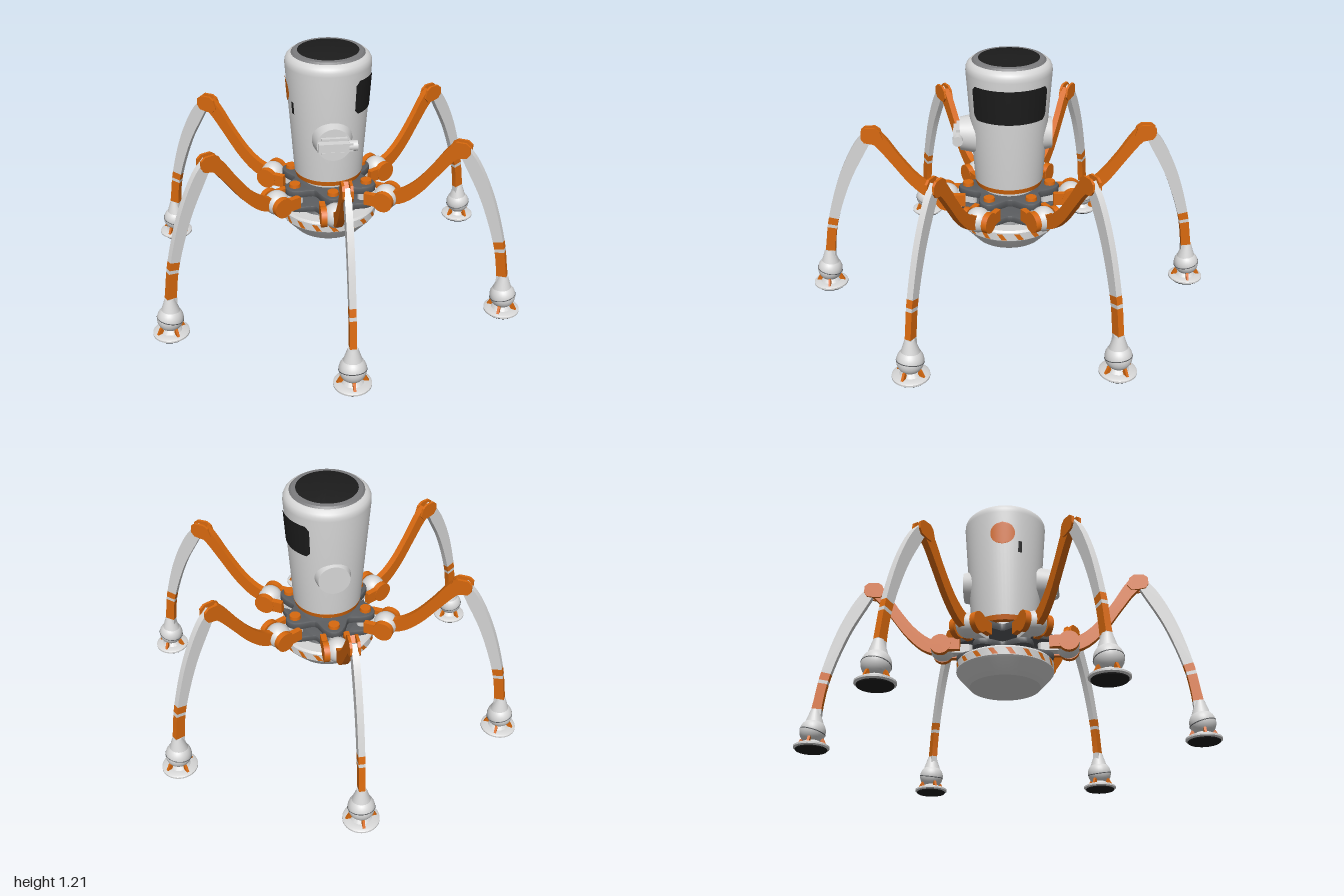
import * as THREE from 'three';
import { toCreasedNormals } from 'three/addons/utils/BufferGeometryUtils.js';

const paint = (name, color, side = THREE.FrontSide) => {
  const m = new THREE.MeshStandardMaterial({ color, side });
  m.name = name;
  return m;
};

export function createModel() {
  const light = paint('light shell', 0xd6d6d6);
  const orange = paint('orange', 0xd8690e);
  const dark = paint('dark grey', 0x5a5c5f);
  const mid = paint('mid grey', 0x7c7c7e);
  const black = paint('black', 0x1c1c1c);
  const root = new THREE.Group();
  root.name = 'sixLeggedRobot';

  const add = (parent, name, geo, mat, x = 0, y = 0, z = 0) => {
    const m = new THREE.Mesh(geo, mat);
    m.name = name;
    m.position.set(x, y, z);
    parent.add(m);
    return m;
  };
  const lathe = (pts, seg = 48) => toCreasedNormals(
    new THREE.LatheGeometry(pts.map(p => new THREE.Vector2(p[0], p[1])), seg), 0.6);
  const cyl = (r1, r2, h, seg = 24) => new THREE.CylinderGeometry(r1, r2, h, seg);

  // Thin panel wrapped round a turned surface; widthAt shapes its outline
  const wrapped = (radiusAt, az, half, y0, y1, widthAt = () => 1, skew = 0, nu = 20, nv = 16) => {
    const g = new THREE.PlaneGeometry(2, 2, nu, nv);
    const p = g.attributes.position;
    for (let i = 0; i < p.count; i++) {
      const v = p.getY(i);
      const a = az + p.getX(i) * half * widthAt(v) + skew * v;
      const y = (y0 + y1) / 2 + v * (y1 - y0) / 2;
      const r = radiusAt(y) + 0.004;
      p.setXYZ(i, r * Math.cos(a), y, -r * Math.sin(a));
    }
    g.computeVertexNormals();
    return g;
  };

  // Curved limb: rows of [radius, height, half thickness], cut between t0 and t1
  const limb = (rows, depth, t0 = 0, t1 = 1, n = 18) => {
    const curve = new THREE.CatmullRomCurve3(rows.map(r => new THREE.Vector3(...r)));
    const up = [], low = [];
    for (let i = 0; i <= n; i++) {
      const t = t0 + (t1 - t0) * i / n;
      const c = curve.getPoint(t), d = curve.getTangent(t);
      const k = c.z / Math.hypot(d.x, d.y);
      up.push(new THREE.Vector2(c.x - d.y * k, c.y + d.x * k));
      low.unshift(new THREE.Vector2(c.x + d.y * k, c.y - d.x * k));
    }
    const g = new THREE.ExtrudeGeometry(new THREE.Shape([...up, ...low]),
      { depth, bevelEnabled: false });
    g.translate(0, 0, -depth / 2);
    return toCreasedNormals(g, 0.6);
  };

  // Body shell and lid
  const bodyR = y => 0.165 + (y - 0.58) * 0.068;
  add(root, 'bodyShell', lathe([[0, 0.6], [0.165, 0.6], [0.204, 1.15], [0.203, 1.168],
    [0.197, 1.183], [0.185, 1.195], [0.172, 1.2]], 64), light);
  add(root, 'lidRing', lathe([[0.174, 1.199], [0.165, 1.208], [0.143, 1.21]], 64), mid);
  add(root, 'lidDisc', lathe([[0.144, 1.21], [0.138, 1.212], [0, 1.212]], 64), black);
  add(root, 'bodyBand', cyl(0.166, 0.16, 0.024, 48), orange, 0, 0.589);
  add(root, 'neck', cyl(0.13, 0.13, 0.04, 40), light, 0, 0.565);

  // Window, round badge and slot
  add(root, 'window', wrapped(bodyR, 0, 1.0, 0.945, 1.112,
    v => Math.min(1, 1 - (Math.abs(v) - 0.75) * 0.4)), black);
  add(root, 'badge', wrapped(bodyR, Math.PI, 0.31, 0.97, 1.09,
    v => Math.sqrt(Math.max(0, 1 - v * v))), orange);
  add(root, 'slot', wrapped(bodyR, Math.PI + 0.45, 0.05, 0.93, 0.99), black);

  // Front knob with a horizontal grip, and the plain cap at the back
  const knob = new THREE.Group();
  knob.name = 'frontKnob';
  knob.position.set(0, 0.83, 0.16);
  root.add(knob);
  add(knob, 'knobBase', toCreasedNormals(cyl(0.08, 0.095, 0.075, 36), 0.6), light, 0, 0, 0.037)
    .rotation.x = Math.PI / 2;
  add(knob, 'knobGrip', new THREE.BoxGeometry(0.16, 0.04, 0.035), light, 0.005, 0, 0.09);
  add(knob, 'gripEnd', cyl(0.025, 0.025, 0.04), light, 0.087, 0, 0.085).rotation.z = Math.PI / 2;
  for (const s of [-1, 1])
    add(knob, 'gripRail', new THREE.BoxGeometry(0.12, 0.012, 0.02), light, 0, s * 0.035, 0.082);
  add(root, 'backCap', toCreasedNormals(cyl(0.075, 0.088, 0.055, 36), 0.6), light, 0, 0.83, -0.177)
    .rotation.x = -Math.PI / 2;

  // Lobed hip plates
  const plate = (base, lobe, h) => {
    const pts = [];
    for (let i = 0; i < 96; i++) {
      const a = i / 96 * Math.PI * 2;
      const r = base + lobe * Math.cos(6 * (a - Math.PI / 6));
      pts.push(new THREE.Vector2(r * Math.cos(a), r * Math.sin(a)));
    }
    const g = new THREE.ExtrudeGeometry(new THREE.Shape(pts), { depth: h - 0.012,
      bevelThickness: 0.006, bevelSize: 0.006, bevelSegments: 2 });
    g.rotateX(-Math.PI / 2);
    return toCreasedNormals(g, 0.6);
  };
  add(root, 'upperHipPlate', plate(0.2, 0.04, 0.038), dark, 0, 0.52);
  add(root, 'lowerHipPlate', plate(0.195, 0.035, 0.032), dark, 0, 0.436);
  add(root, 'bowlNeck', cyl(0.15, 0.17, 0.03, 40), dark, 0, 0.425);

  // Lower bowl with slanted stripes
  add(root, 'bowl', lathe([[0, 0.29], [0.17, 0.29], [0.228, 0.355], [0.235, 0.365],
    [0.235, 0.405], [0.226, 0.415], [0, 0.415]], 64), light);
  for (let i = 0; i < 18; i++)
    add(root, 'bowlStripe', wrapped(() => 0.233, (i + 0.5) * Math.PI / 9, 0.055,
      0.368, 0.4, () => 1, -0.05, 4, 2), orange);

  // One leg, pointing along +x
  const femurRows = [[0.3, 0.495, 0.035], [0.38, 0.52, 0.034], [0.46, 0.585, 0.03],
    [0.55, 0.7, 0.028], [0.615, 0.79, 0.032], [0.655, 0.83, 0.036]];
  const tibiaRows = [[0.665, 0.84, 0.022], [0.715, 0.77, 0.032], [0.8, 0.604, 0.03],
    [0.875, 0.37, 0.024], [0.897, 0.24, 0.023], [0.908, 0.14, 0.028]];
  const makeLeg = () => {
    const leg = new THREE.Group();
    leg.name = 'leg';

    // Hip joint
    add(leg, 'hipPost', cyl(0.022, 0.022, 0.08), light, 0.18, 0.49);
    add(leg, 'hipBolt', cyl(0.026, 0.028, 0.016), orange, 0.2, 0.563);
    add(leg, 'hipArm', new THREE.BoxGeometry(0.13, 0.05, 0.05), light, 0.24, 0.495);
    add(leg, 'hipBall', new THREE.SphereGeometry(0.06, 28, 18), light, 0.305, 0.5);
    for (const s of [-1, 1]) {
      add(leg, 'hipCheek', cyl(0.05, 0.05, 0.028, 28), orange, 0.31, 0.5, s * 0.058)
        .rotation.x = Math.PI / 2;
      add(leg, 'hipBracket', new THREE.BoxGeometry(0.1, 0.06, 0.028), orange, 0.265, 0.5, s * 0.056);
    }

    // Upper limb and forked knee
    add(leg, 'upperLimb', limb(femurRows, 0.032), orange);
    const kneeShape = new THREE.Shape([[0.605, 0.81], [0.618, 0.85], [0.64, 0.866], [0.688, 0.866],
      [0.708, 0.85], [0.71, 0.815], [0.695, 0.793], [0.655, 0.785], [0.625, 0.785]]
      .map(p => new THREE.Vector2(p[0], p[1])));
    for (const s of [-1, 1]) {
      const g = new THREE.ExtrudeGeometry(kneeShape, { depth: 0.012, bevelEnabled: false });
      add(leg, 'kneePlate', g, orange, 0, 0, s * 0.018 - 0.006);
    }

    // Lower limb, with painted bands near the ankle
    [[0, 0.585, light], [0.585, 0.63, orange], [0.63, 0.655, light],
      [0.655, 0.875, orange], [0.875, 1, light]].forEach(([a, b, mat]) =>
      add(leg, 'lowerLimb', limb(tibiaRows, 0.03, a, b, b - a > 0.4 ? 16 : 4), mat));

    // Ankle and foot
    const foot = new THREE.Group();
    foot.name = 'foot';
    foot.position.x = 0.914;
    leg.add(foot);
    add(foot, 'ankleCollar', cyl(0.022, 0.045, 0.07), light, -0.004, 0.165);
    add(foot, 'ankleBall', new THREE.SphereGeometry(0.062, 28, 20), light, 0, 0.092);
    add(foot, 'ballSeam', new THREE.TorusGeometry(0.061, 0.0025, 6, 36), dark, 0, 0.09)
      .rotation.set(Math.PI / 2, 0.25, 0);
    add(foot, 'footPad', lathe([[0.075, 0.004], [0.085, 0.01], [0.085, 0.018], [0.076, 0.024],
      [0.05, 0.026], [0.035, 0.045], [0, 0.045]], 36), light);
    add(foot, 'sole', cyl(0.077, 0.074, 0.008, 36), black, 0, 0.004);
    const clip = new THREE.Shape([[0.036, 0.02], [0.074, 0.02], [0.055, 0.056], [0.046, 0.056]]
      .map(p => new THREE.Vector2(p[0], p[1])));
    for (let i = 0; i < 4; i++) {
      const pivot = new THREE.Group();
      pivot.name = 'footClip';
      pivot.rotation.y = i * Math.PI / 2;
      foot.add(pivot);
      add(pivot, 'clipPlate', new THREE.ExtrudeGeometry(clip, { depth: 0.012, bevelEnabled: false }),
        orange, 0, 0, -0.006);
    }
    return leg;
  };

  for (let i = 0; i < 6; i++) {
    const leg = makeLeg();
    leg.rotation.y = Math.PI / 6 + i * Math.PI / 3;
    root.add(leg);
  }
  return root;
}
